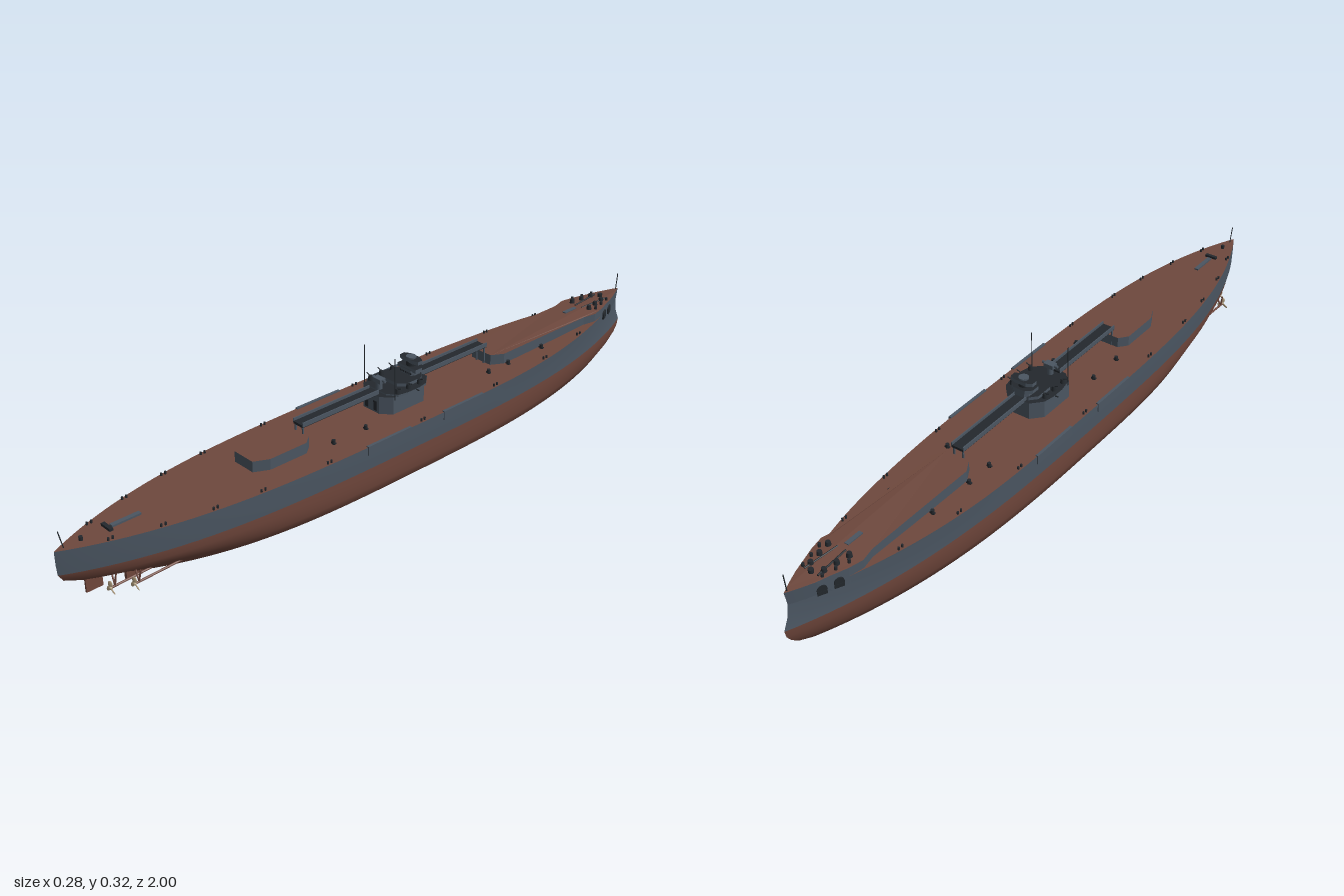
import * as THREE from 'three';

const mat = (name, color) => Object.assign(new THREE.MeshStandardMaterial({ color }), { name });

export function createModel() {
  const red = mat('hullRed', 0x6f463b), grey = mat('hullGrey', 0x4a5561), deckMat = mat('deckBrown', 0x6e483d);
  const dark = mat('darkSteel', 0x23282d), brass = mat('propellerBrass', 0xb5a283);
  red.side = grey.side = THREE.DoubleSide;
  const ship = new THREE.Group();
  ship.name = 'warship';

  const add = (name, geo, material, x = 0, y = 0, z = 0, parent = ship) => {
    const m = new THREE.Mesh(geo, material);
    m.name = name;
    m.position.set(x, y, z);
    parent.add(m);
    return m;
  };
  const box = (name, w, h, d, x, y, z, m = grey, p = ship) => add(name, new THREE.BoxGeometry(w, h, d), m, x, y, z, p);
  const cyl = (name, r, h, x, y, z, m = dark, p = ship, r2 = r, n = 12) =>
    add(name, new THREE.CylinderGeometry(r2, r, h, n), m, x, y, z, p);
  const rod = (name, a, b, r, m = dark, p = ship) => {
    const from = new THREE.Vector3(...a), to = new THREE.Vector3(...b), dir = to.clone().sub(from);
    const mesh = cyl(name, r, dir.length(), 0, 0, 0, m, p, r, 8);
    mesh.position.copy(from.add(to).multiplyScalar(0.5));
    mesh.quaternion.setFromUnitVectors(new THREE.Vector3(0, 1, 0), dir.normalize());
    return mesh;
  };
  const bothSides = (fn) => [1, -1].forEach(fn);
  // Upright prism from an outline given for the +x side, mirrored
  const prism = (name, half, y, h, top = deckMat, side = grey) => {
    const pts = [...half, ...half.map(([x, z]) => [-x, z]).reverse()];
    const shape = new THREE.Shape(pts.map(([x, z]) => new THREE.Vector2(x, -z)));
    const geo = new THREE.ExtrudeGeometry(shape, { depth: h, bevelEnabled: false });
    geo.rotateX(-Math.PI / 2);
    return add(name, geo, [top, side], 0, y, 0);
  };

  // Hull waterlines: height, half width, bow z, stern z, bow and stern fullness
  const levels = [
    [0, 0.085, -0.82, 0.7, 3, 3], [0, 0.113, -0.84, 0.72, 3, 3.2], [0.013, 0.131, -0.92, 0.8, 2.9, 3.3],
    [0.035, 0.136, -0.96, 0.86, 2.9, 3.4], [0.055, 0.138, -0.983, 0.94, 2.9, 3.4],
    [0.075, 0.139, -0.996, 0.985, 3, 3.4], [0.095, 0.139, -1, 0.998, 3, 3.4],
    [0.125, 0.14, -0.986, 1, 3, 3.4], [0.16, 0.14, -0.978, 1, 3.2, 3.4],
  ];
  const sheer = (z) => 0.01 * THREE.MathUtils.smoothstep(-z, 0.4, 0.9);
  const N = 72;
  const line = (i, sign) => {
    const [y, w, zb, zs, pb, ps] = levels[i];
    return Array.from({ length: N + 1 }, (_, j) => {
      const t = Math.sin((j / N - 0.5) * Math.PI);
      const x = w * Math.pow(1 - Math.pow(Math.abs(t), t < 0 ? pb : ps), 0.97);
      const z = t < 0 ? -t * zb : t * zs;
      return [sign * x, y + (i === levels.length - 1 ? sheer(z) : 0), z];
    });
  };
  const loft = (name, rows, m) => {
    const geo = new THREE.BufferGeometry(), index = [];
    geo.setAttribute('position', new THREE.Float32BufferAttribute(rows.flat(2), 3));
    const c = N + 1;
    for (let i = 0; i < rows.length - 1; i++) for (let j = 0; j < N; j++) {
      const a = i * c + j, b = a + 1, d = a + c;
      index.push(a, d, d + 1, a, d + 1, b);
    }
    geo.setIndex(index);
    geo.computeVertexNormals();
    return add(name, geo, m);
  };
  const lower = [0, 1, 2, 3, 4, 5, 6], upper = [6, 7, 8];
  loft('lowerHull', [...[...lower].reverse().map(i => line(i, -1)), ...lower.map(i => line(i, 1))], red);
  loft('leftUpperHull', upper.map(i => line(i, 1)), grey);
  loft('rightUpperHull', [...upper].reverse().map(i => line(i, -1)), grey);
  loft('mainDeck', [line(8, 1), line(8, -1)], deckMat);
  const deckHalf = (z) => 0.14 * Math.pow(1 - Math.pow(Math.abs(z / (z < 0 ? 0.978 : 1)), z < 0 ? 3.2 : 3.4), 0.97);

  // Raised forecastle, flush with the hull at the bow
  const bow = [-0.8, -0.84, -0.88, -0.91, -0.94, -0.96, -0.977].map(z => [Math.min(deckHalf(z), 0.064), z]);
  const forecastle = prism('forecastle', [[0.035, -0.38], [0.055, -0.415], [0.055, -0.76], ...bow], 0, 0.03);
  const fp = forecastle.geometry.attributes.position;
  for (let i = 0; i < fp.count; i++) {
    const top = fp.getY(i) > 0.015, z = fp.getZ(i), lift = Math.max(0, (-z - 0.6) / 0.4);
    fp.setY(i, top ? 0.19 + 0.012 * lift * lift : 0.15);
    if (top && z < -0.9) fp.setZ(i, z - 0.008);
  }
  forecastle.geometry.computeVertexNormals();

  // Aft deckhouse and raised walkway
  prism('aftDeckhouse', [[0.035, 0.285], [0.055, 0.31], [0.055, 0.425], [0.035, 0.465]], 0.155, 0.035);
  [[0.03, 0.29], [-0.38, -0.11]].forEach(([a, b]) => {
    const mid = (a + b) / 2;
    box('walkway', 0.036, 0.007, b - a, 0, 0.212, mid, dark);
    bothSides(s => box('walkwayRail', 0.003, 0.012, b - a, s * 0.018, 0.217, mid, grey));
    bothSides(s => [a + 0.004, b - 0.004].forEach(z => box('walkwayPost', 0.004, 0.055, 0.004, s * 0.014, 0.185, z, grey)));
  });

  // Central tower
  prism('towerBase', [[0.03, 0.04], [0.058, 0.015], [0.058, -0.095], [0.03, -0.125]], 0.155, 0.055, dark);
  prism('towerPlatform', [[0.035, 0.02], [0.062, 0], [0.068, -0.03], [0.068, -0.07], [0.062, -0.1], [0.035, -0.13]], 0.208, 0.006, dark);
  prism('lowerBridge', [[0.025, -0.03], [0.043, -0.05], [0.043, -0.1], [0.025, -0.12]], 0.21, 0.013, dark);
  prism('upperBridge', [[0.018, -0.085], [0.024, -0.095], [0.024, -0.115], [0.015, -0.125]], 0.22, 0.018, dark);
  prism('bridgeGallery', [[0.034, -0.088], [0.034, -0.112], [0.018, -0.127]], 0.234, 0.01, dark);
  cyl('directorColumn', 0.014, 0.016, 0, 0.249, -0.105, dark);
  prism('directorHouse', [[0.018, -0.092], [0.034, -0.097], [0.034, -0.113], [0.018, -0.122]], 0.255, 0.01, dark);
  cyl('directorRoof', 0.014, 0.005, 0, 0.267, -0.105, grey);
  for (let i = -3; i <= 3; i++) box('bridgeWindow', 0.004, 0.005, 0.002, i * 0.0065, 0.229, -0.085, dark);
  cyl('aftDirectorPedestal', 0.009, 0.03, 0, 0.222, 0.012, grey);
  box('aftDirector', 0.03, 0.012, 0.02, 0, 0.24, 0.012);
  rod('aftRangefinder', [-0.024, 0.242, 0.012], [0.024, 0.242, 0.012], 0.004, grey);
  bothSides(s => {
    rod('antenna', [s * 0.058, 0.2, 0.01], [s * 0.058, 0.32, 0.01], 0.0012);
    rod('bridgeWing', [s * 0.05, 0.211, -0.06], [s * 0.076, 0.211, -0.06], 0.002);
    box('towerDoor', 0.012, 0.028, 0.002, s * 0.016, 0.18, 0.041, dark);
    [-0.085, -0.045, -0.005].forEach(z => {
      cyl('lightGunMount', 0.007, 0.014, s * 0.052, 0.22, z, dark, ship, 0.005);
      rod('lightGunBarrel', [s * 0.052, 0.226, z], [s * 0.066, 0.231, z], 0.0014);
    });
    // Side sponsons on the hull
    [[0.03, 0.18], [-0.24, -0.09]].forEach(([a, b]) => box('sideSponson', 0.008, 0.026, b - a, s * 0.1385, 0.15, (a + b) / 2));
    // Deck fittings
    [-0.56, -0.42, -0.34, 0.12, 0.23].forEach(z => {
      const y = 0.16 + sheer(z);
      cyl('deckVent', 0.005, 0.012, s * 0.066, y + 0.006, z);
      box('deckLocker', 0.014, 0.004, 0.006, s * 0.066, y + 0.003, z, dark);
    });
    [-0.7, -0.52, -0.3, -0.02, 0.3, 0.5, 0.63, 0.76, 0.88].forEach(z => {
      const x = s * (deckHalf(z) - 0.007), y = 0.163 + sheer(z);
      [-0.006, 0.006].forEach(dz => cyl('bollard', 0.0028, 0.009, x, y, z + dz));
    });
    // Anchors and hawse plates on the bow
    [-0.865, -0.905].forEach(z => {
      const hawse = cyl('hawsePlate', 0.013, 0.005, s * (deckHalf(z) + 0.001), 0.168, z, dark);
      hawse.rotation.set(0, s * 0.45, Math.PI / 2);
      box('anchor', 0.006, 0.01, 0.024, s * (deckHalf(z) + 0.001), 0.159, z, dark).rotation.y = s * 0.45;
    });
    // Windlasses and chains on the forecastle
    [-0.81, -0.845, -0.88].forEach((z, i) => {
      cyl('windlass', 0.008, 0.014, s * (0.032 - i * 0.006), 0.2, z, dark, ship, 0.006);
      cyl('mooringBitt', 0.004, 0.012, s * (0.045 - i * 0.008), 0.199, z - 0.015);
    });
    rod('anchorChain', [s * 0.012, 0.196, -0.8], [s * 0.02, 0.199, -0.9], 0.0025);
  });
  box('forecastleHatch', 0.012, 0.006, 0.05, 0, 0.195, -0.76);
  cyl('bowCapstan', 0.007, 0.012, 0, 0.202, -0.9);
  rod('bowStaff', [0, 0.195, -0.975], [0, 0.25, -0.98], 0.0014);
  rod('sternStaff', [0, 0.16, 0.975], [0, 0.207, 0.985], 0.0014);
  box('sternHatch', 0.012, 0.006, 0.08, 0, 0.162, 0.81);
  box('sternWinch', 0.036, 0.007, 0.01, 0, 0.164, 0.86, dark);
  cyl('sternCapstan', 0.005, 0.01, 0, 0.165, 0.93);

  // Keel skeg, rudder and propellers
  box('skeg', 0.01, 0.045, 0.27, 0, 0.0235, 0.69, red);
  box('rudder', 0.006, 0.042, 0.045, 0, 0.038, 0.91, red);
  cyl('rudderStock', 0.004, 0.03, 0, 0.058, 0.905, red);
  const blade = new THREE.SphereGeometry(1, 10, 8);
  blade.scale(0.006, 0.0095, 0.0018);
  blade.rotateY(0.5);
  blade.translate(0, 0.0105, 0);
  bothSides(s => [[0.062, 0.028, 0.84], [0.029, 0.021, 0.885]].forEach(([x, y, z]) => {
    const prop = new THREE.Group();
    prop.name = 'propeller';
    prop.position.set(s * x, y, z);
    ship.add(prop);
    add('propellerHub', new THREE.SphereGeometry(0.0045, 10, 8), brass, 0, 0, 0, prop);
    for (let k = 0; k < 3; k++) add('propellerBlade', blade, brass, 0, 0, 0, prop).rotation.z = s * k * Math.PI * 2 / 3;
    rod('propellerShaft', [s * x, y, z], [s * x, y + 0.006, z - 0.2], 0.003, red);
    rod('shaftStrut', [s * x, y, z - 0.012], [s * (x - 0.018), 0.062, z - 0.015], 0.0022, red);
    rod('shaftStrut', [s * x, y, z - 0.012], [s * (x + 0.006), 0.062, z - 0.015], 0.0022, red);
  }));
  return ship;
}
